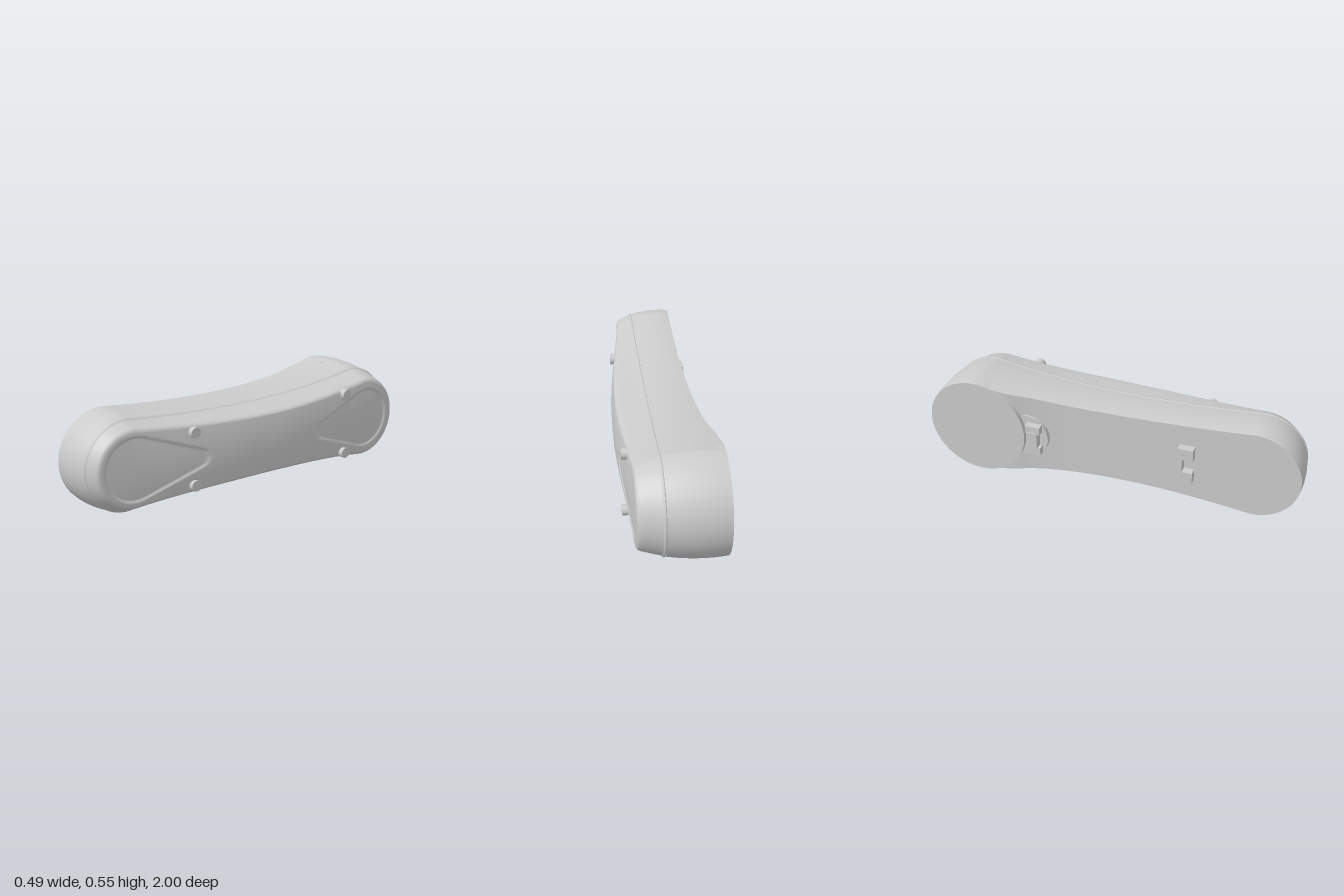
import * as THREE from 'three';

const MID = 0.28;                          // height of the long axis
const FRONT = { z: 0.75, r: 0.25 };        // round front end
const REAR = { z: -0.725, r: 0.275 };      // round rear end
const material = new THREE.MeshStandardMaterial({ color: 0xcccccc });

// Smooth curve x(z) through a few [z, x] points, clamped at both ends
function curveThrough(points) {
  const n = points.length;
  const slope = points.map((p, i) => {
    const a = points[Math.max(i - 1, 0)], b = points[Math.min(i + 1, n - 1)];
    return (b[1] - a[1]) / (b[0] - a[0]);
  });
  return (z) => {
    if (z <= points[0][0]) return points[0][1];
    if (z >= points[n - 1][0]) return points[n - 1][1];
    let i = 0;
    while (z > points[i + 1][0]) i++;
    const [z0, x0] = points[i], [z1, x1] = points[i + 1];
    const w = z1 - z0, t = (z - z0) / w, u = 1 - t;
    return x0 * u * u * (1 + 2 * t) + slope[i] * w * t * u * u
      + x1 * t * t * (3 - 2 * t) - slope[i + 1] * w * t * t * u;
  };
}

const backX = curveThrough([[-0.65, -0.228], [-0.53, -0.215], [-0.44, -0.195], [-0.32, -0.178],
  [0, -0.156], [0.3, -0.147], [1, -0.147]]);
const faceX = curveThrough([[-1, 0.192], [-0.93, 0.197], [-0.57, 0.222], [-0.32, 0.238], [-0.15, 0.244],
  [0, 0.241], [0.2, 0.231], [0.43, 0.206], [0.7, 0.17], [0.93, 0.142], [1, 0.135]]);

// Signed distance to a teardrop whose tip points toward the middle
function teardrop(z, y, end, dir) {
  const r1 = 0.165, r2 = 0.05, h = 0.345;
  const px = Math.abs(y - MID), py = (z - end.z) * dir;
  const b = (r1 - r2) / h, a = Math.sqrt(1 - b * b), k = -b * px + a * py;
  if (k < 0) return Math.hypot(px, py) - r1;
  if (k > a * h) return Math.hypot(px, py - h) - r2;
  return a * px + b * py - r1;
}

// Outer face: slightly domed, with two shallow teardrop recesses
function coverX(z, y) {
  const d = Math.min(teardrop(z, y, FRONT, -1), teardrop(z, y, REAR, 1));
  const recess = 0.007 * (1 - THREE.MathUtils.smoothstep(d, -0.012, 0.003));
  const dome = 0.7 * Math.max(0, 1 - z * z) * (y - MID) ** 2;
  return faceX(z) - dome - recess;
}

// Dog-bone outline: each point has its own anchor on the long axis
function makeOutline() {
  const pts = [], side = 110, arc = 56;
  const half = (z) => {
    const end = z > 0 ? FRONT : REAR;
    return 0.207 + (end.r - 0.207) * (z / end.z) ** 2;
  };
  for (const s of [1, -1]) {
    for (let i = 0; i < side; i++) {
      const t = i / side;
      const z = THREE.MathUtils.lerp(REAR.z, FRONT.z, s > 0 ? t : 1 - t);
      pts.push({ anchor: z, dz: 0, dy: s * half(z) });
    }
    const end = s > 0 ? FRONT : REAR;
    for (let i = 0; i < arc; i++) {
      const a = Math.PI * i / arc;
      pts.push({ anchor: end.z, dz: s * end.r * Math.sin(a), dy: s * end.r * Math.cos(a) });
    }
  }
  return pts;
}
const outline = makeOutline();

// Skin over rings; each ring is the outline scaled toward the axis, with a rule for x
function loft(name, rings) {
  const pos = [], index = [], n = outline.length;
  for (const { s, x } of rings) {
    for (const p of outline) {
      const z = p.anchor + p.dz * s, y = MID + p.dy * s;
      pos.push(x(z, y), y, z);
    }
  }
  for (let j = 0; j < rings.length - 1; j++) {
    for (let i = 0; i < n; i++) {
      const k = (i + 1) % n, a = j * n + i, b = j * n + k;
      index.push(a, b, b + n, a, b + n, a + n);
    }
  }
  const geo = new THREE.BufferGeometry();
  geo.setAttribute('position', new THREE.Float32BufferAttribute(pos, 3));
  geo.setIndex(index);
  geo.computeVertexNormals();
  return named(name, geo);
}

function named(name, geo) {
  const mesh = new THREE.Mesh(geo, material);
  mesh.name = name;
  return mesh;
}

// Cylinder lying along x between two x positions
function rod(name, r, x0, x1, y, z, sides = 32) {
  const geo = new THREE.CylinderGeometry(r, r, x1 - x0, sides);
  geo.rotateZ(-Math.PI / 2);
  geo.translate((x0 + x1) / 2, y, z);
  return named(name, geo);
}

// Box given by its minimum and maximum corners
function block(name, [x0, y0, z0], [x1, y1, z1]) {
  const geo = new THREE.BoxGeometry(x1 - x0, y1 - y0, z1 - z0);
  geo.translate((x0 + x1) / 2, (y0 + y1) / 2, (z0 + z1) / 2);
  return named(name, geo);
}

// Curved rib on the back, bulging toward -z
function curvedRib() {
  const shape = new THREE.Shape();
  shape.moveTo(0.395, 0.175);
  shape.lineTo(0.378, 0.175);
  shape.quadraticCurveTo(0.335, MID, 0.378, 0.38);
  shape.lineTo(0.395, 0.38);
  shape.closePath();
  const geo = new THREE.ExtrudeGeometry(shape, { depth: 0.05, bevelEnabled: false, curveSegments: 16 });
  geo.rotateY(-Math.PI / 2);
  geo.translate(-0.138, 0, 0);
  return named('curvedRib', geo);
}

export function createModel() {
  const group = new THREE.Group();
  group.name = 'armLink';

  // Flat back of the link
  const back = [];
  for (let j = 0; j <= 8; j++) back.push({ s: 0.985 * j / 8, x: backX });
  group.add(loft('backFace', back));

  // Barrel-shaped side wall up to the seam
  const wall = [];
  for (let j = 0; j <= 10; j++) {
    const t = j / 10;
    const x = (z) => THREE.MathUtils.lerp(backX(z), 0.066, t);
    const s = t < 0.3 ? 1 - 0.015 * (1 - t / 0.3) ** 2 : 1 - 0.075 * ((t - 0.3) / 0.7) ** 2;
    wall.push({ s, x });
  }
  group.add(loft('sideWall', wall));

  // Raised bead along the seam
  group.add(loft('seamBead', [[0.92, 0.066], [0.937, 0.068], [0.937, 0.075], [0.905, 0.081]]
    .map(([s, x]) => ({ s, x: () => x }))));

  // Cover: sloped shoulder, rounded edge, then the outer face
  const cover = [[0.912, 0], [0.89, 0.17], [0.86, 0.42], [0.83, 0.66], [0.805, 0.84], [0.785, 0.93],
    [0.76, 0.98], [0.73, 1]].map(([s, t]) => ({
    s, x: (z, y) => THREE.MathUtils.lerp(0.076, coverX(z, y), t),
  }));
  for (let j = 1; j <= 44; j++) cover.push({ s: 0.73 * (1 - j / 44), x: coverX });
  group.add(loft('cover', cover));

  // Round hub standing out at the rear end
  group.add(rod('rearHub', 0.271, -0.23, -0.1, MID, REAR.z, 72));

  // Four round pegs on the cover
  for (const s of [1, -1]) {
    group.add(rod('frontPeg', 0.028, 0.1, 0.216, MID + s * 0.136, 0.44));
    group.add(rod('rearPeg', 0.028, 0.1, 0.238, MID + s * 0.165, -0.55));
  }

  // Front connector on the back: curved rib with end blocks
  group.add(curvedRib());
  for (const s of [1, -1]) {
    const y = MID - 0.003 + s * 0.071;
    group.add(block('connectorBlock', [-0.186, y - 0.033, 0.37], [-0.13, y + 0.033, 0.45]));
  }

  // Rear connector on the back: round plate with three teeth
  group.add(rod('connectorPlate', 0.125, -0.205, -0.15, MID - 0.005, -0.455, 48));
  group.add(block('middleTooth', [-0.249, 0.232, -0.43], [-0.19, 0.328, -0.375]));
  for (const s of [1, -1]) {
    const y = MID - 0.003 + s * 0.064;
    group.add(block('outerTooth', [-0.243, y - 0.022, -0.44], [-0.19, y + 0.022, -0.36]));
  }
  return group;
}
